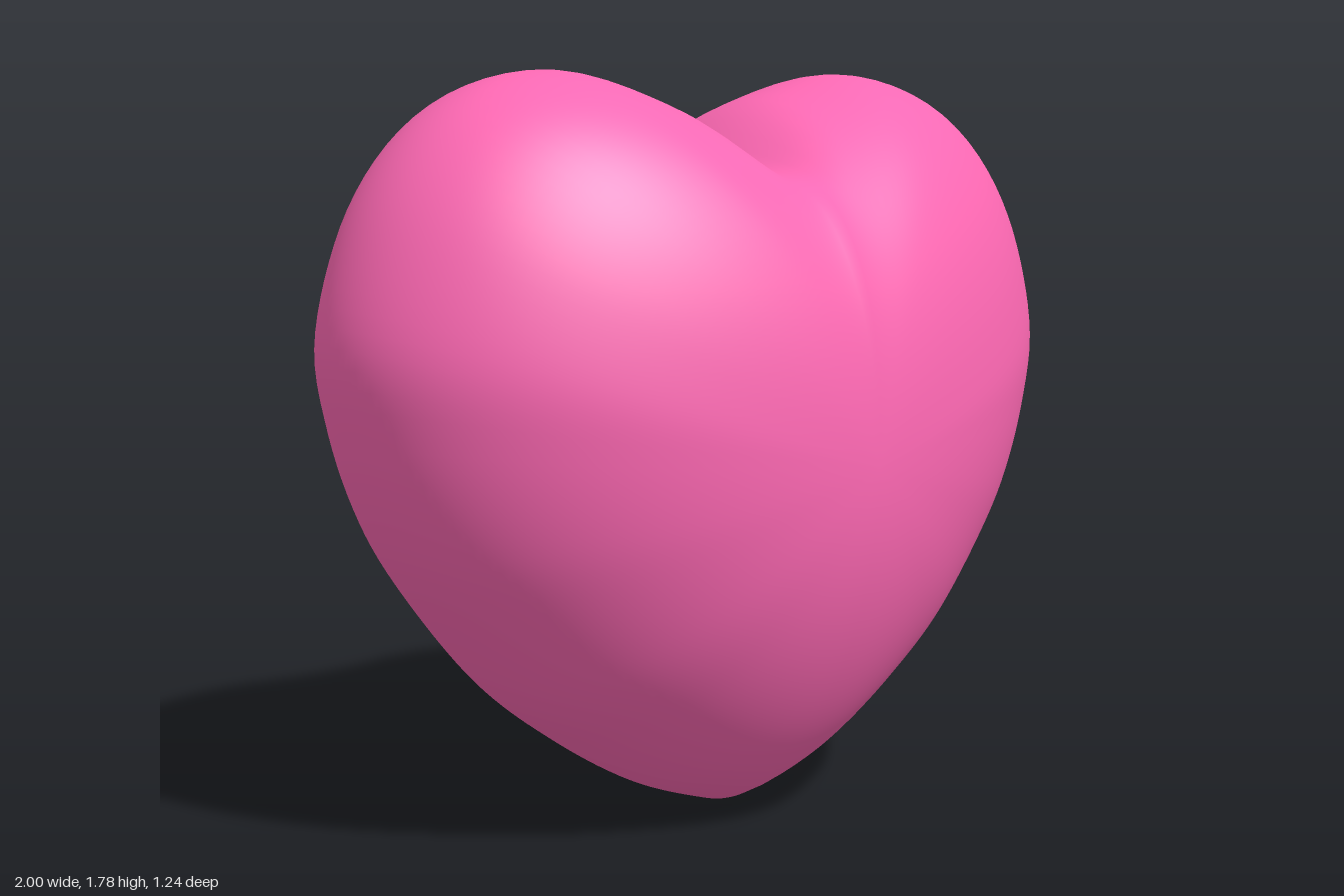
import * as THREE from 'three';
import { mergeVertices } from 'three/addons/utils/BufferGeometryUtils.js';

const CENTRE_Y = 0.9, HALF_DEPTH = 0.62;

// Half of the heart outline, from the notch round to the bottom tip
const outline = [
  [0, 1.55], [0.13, 1.677], [0.25, 1.735], [0.45, 1.78], [0.65, 1.74], [0.81, 1.63],
  [0.93, 1.45], [1, 1.2], [0.972, 0.99], [0.9, 0.78], [0.795, 0.6], [0.6, 0.36],
  [0.41, 0.205], [0.2, 0.075], [0, 0],
];

// Outline as radius against angle from straight up
const polar = new THREE.SplineCurve(outline.map(([x, y]) => new THREE.Vector2(x, y - CENTRE_Y)))
  .getPoints(400).map((p) => [Math.atan2(p.x, p.y), p.length()]);

function radiusAt(angle) {
  let i = 1;
  while (i < polar.length - 1 && polar[i][0] < angle) i++;
  const [a0, r0] = polar[i - 1], [a1, r1] = polar[i];
  return THREE.MathUtils.lerp(r0, r1, THREE.MathUtils.clamp((angle - a0) / (a1 - a0), 0, 1));
}

// Rounds off the notch and the tip by the amount e
function soften(angle, e) {
  const fromEnd = Math.min(angle, Math.PI - angle);
  const fade = (1 - fromEnd / (Math.PI / 2)) ** 2;
  const shift = (Math.hypot(fromEnd, e) - fromEnd) * fade;
  return angle < Math.PI / 2 ? angle + shift : angle - shift;
}

export function createModel() {
  const group = new THREE.Group();
  group.name = 'heart';

  // Sphere with its poles front and back, each ring reshaped to the heart outline
  let geometry = new THREE.SphereGeometry(1, 160, 96).rotateX(Math.PI / 2);
  geometry.deleteAttribute('uv');
  geometry.deleteAttribute('normal');
  const pos = geometry.attributes.position;
  for (let i = 0; i < pos.count; i++) {
    const x = pos.getX(i), y = pos.getY(i), z = pos.getZ(i);
    const ring = Math.hypot(x, y);
    const angle = Math.atan2(Math.abs(x), y);
    const scale = ring < 1e-6 ? 0 : radiusAt(soften(angle, 0.45 * z * z));
    pos.setXYZ(i, x * scale, CENTRE_Y + y * scale, z * HALF_DEPTH);
  }
  geometry = mergeVertices(geometry, 1e-5);
  geometry.computeVertexNormals();

  const body = new THREE.Mesh(geometry, new THREE.MeshStandardMaterial({ color: 0xff69b4 }));
  body.name = 'heartBody';
  group.add(body);
  return group;
}
